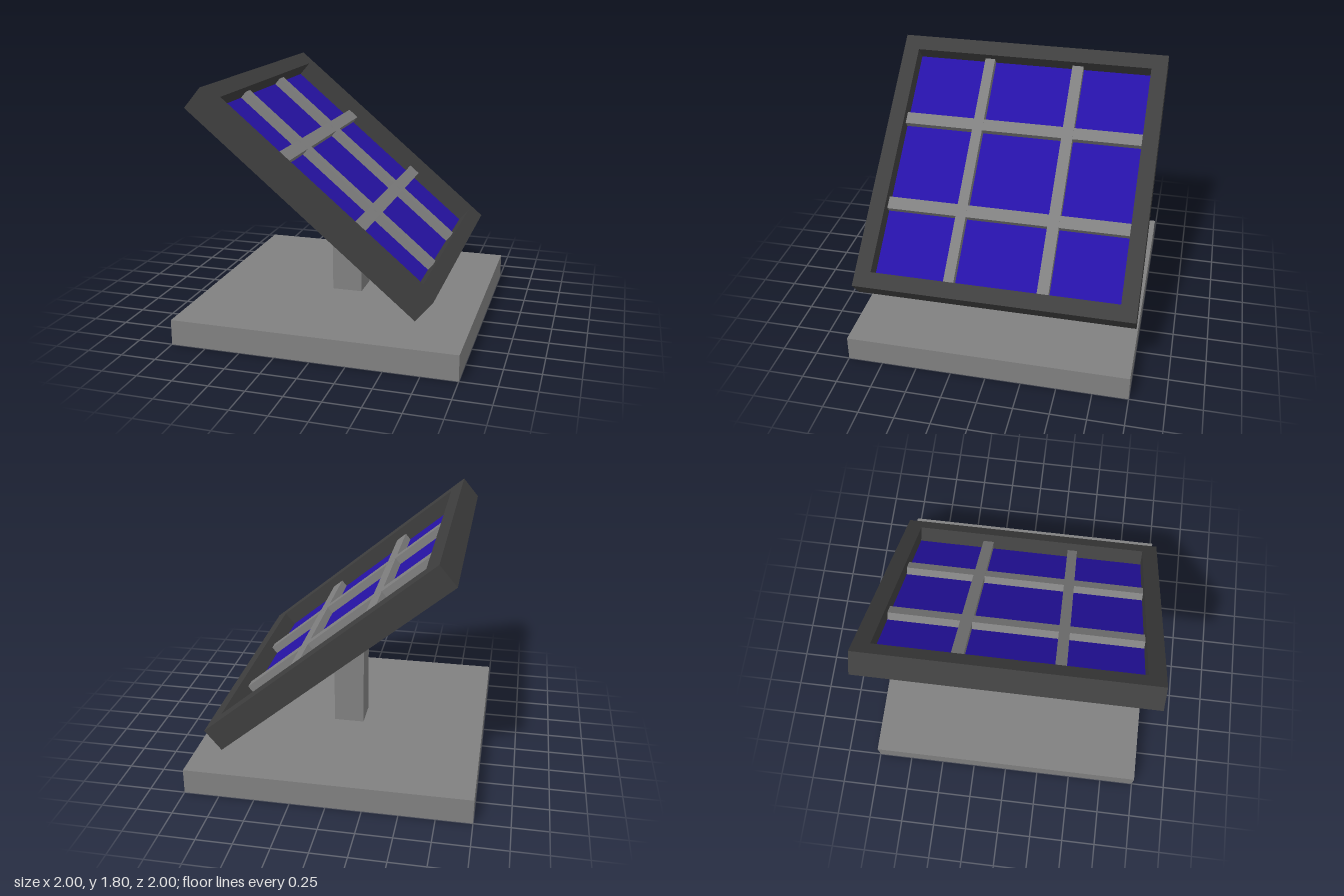
import * as THREE from 'three';

const material = (color) => new THREE.MeshStandardMaterial({ color });

function addMesh(parent, name, geometry, mat) {
  const mesh = new THREE.Mesh(geometry, mat);
  mesh.name = name;
  parent.add(mesh);
  return mesh;
}

// Box given by its min and max on each axis
function addBox(parent, name, [x0, x1], [y0, y1], [z0, z1], mat) {
  const mesh = addMesh(parent, name, new THREE.BoxGeometry(x1 - x0, y1 - y0, z1 - z0), mat);
  mesh.position.set((x0 + x1) / 2, (y0 + y1) / 2, (z0 + z1) / 2);
  return mesh;
}

const square = (Path, h) => new Path([[-h, -h], [h, -h], [h, h], [-h, h]].map(([x, y]) => new THREE.Vector2(x, y)));

export function createModel() {
  const model = new THREE.Group();
  model.name = 'solarPanel';
  const grey = material(0x808080);
  const dark = material(0x3e3e3e);
  const blue = material(0x2612a6);

  // Ground slab
  addBox(model, 'base', [-1, 1], [0, 0.18], [-1, 1], grey);

  // Square post with its top cut to the slope of the panel
  const side = new THREE.Shape([[-0.11, 0.18], [0.11, 0.18], [0.11, 0.868], [-0.11, 1.045]]
    .map(([x, y]) => new THREE.Vector2(x, y)));
  const postGeometry = new THREE.ExtrudeGeometry(side, { depth: 0.22, bevelEnabled: false });
  postGeometry.translate(0, 0, -0.11);
  addMesh(model, 'post', postGeometry, grey);

  // Tilted panel: local x runs down the slope, y points out of the face
  const panel = new THREE.Group();
  panel.name = 'panel';
  panel.position.y = 1.087;
  panel.rotation.z = THREE.MathUtils.degToRad(-40);
  model.add(panel);

  const half = 0.089, opening = 0.885, floor = -0.028;

  // Rim around the recessed face
  const rim = square(THREE.Shape, 1);
  rim.holes.push(square(THREE.Path, opening));
  const rimGeometry = new THREE.ExtrudeGeometry(rim, { depth: 2 * half, bevelEnabled: false });
  rimGeometry.rotateX(-Math.PI / 2).translate(0, -half, 0);
  addMesh(panel, 'frame', rimGeometry, dark);

  // Back plate and blue cells inside the rim
  const span = [-opening, opening];
  addBox(panel, 'backPlate', span, [-half, -0.04], span, dark);
  addBox(panel, 'cells', span, [-0.04, floor], span, blue);

  // Grid of dividing bars, two each way
  for (const [a, b] of [[-0.384, -0.295], [0.294, 0.385]])
    addBox(panel, 'crossBar', [a, b], [floor, 0.029], span, grey);
  for (const [a, b] of [[-0.381, -0.298], [0.296, 0.371]])
    addBox(panel, 'slopeBar', span, [floor, 0.03], [a, b], grey);

  return model;
}
